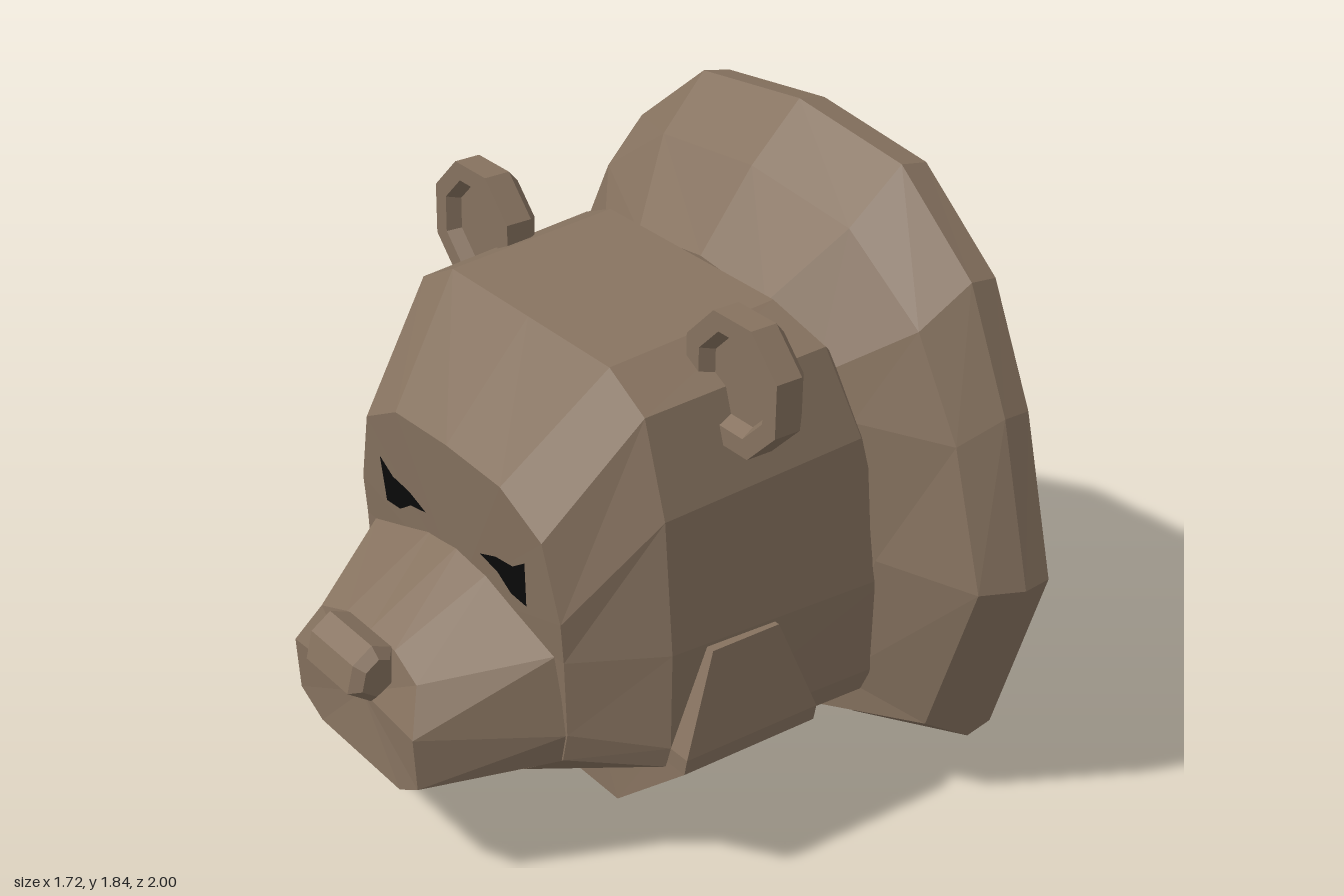
import * as THREE from 'three';

const mat = (name, color, side = THREE.FrontSide) => {
  const m = new THREE.MeshStandardMaterial({ color, flatShading: true, side });
  m.name = name;
  return m;
};

// Surface through closed loops of [x, y, z] points, capped at both ends
function loft(rings) {
  const pos = [], n = rings[0].length;
  const tri = (a, b, c) => pos.push(...a, ...b, ...c);
  for (let i = 0; i < rings.length - 1; i++) {
    for (let j = 0; j < n; j++) {
      const k = (j + 1) % n, a = rings[i], b = rings[i + 1];
      tri(a[j], a[k], b[j]);
      tri(a[k], b[k], b[j]);
    }
  }
  const cap = (ring, flip) => {
    const c = [0, 1, 2].map(d => ring.reduce((s, p) => s + p[d], 0) / n);
    ring.forEach((p, j) => {
      const q = ring[(j + 1) % n];
      flip ? tri(c, q, p) : tri(c, p, q);
    });
  };
  cap(rings[0], true);
  cap(rings[rings.length - 1], false);
  const g = new THREE.BufferGeometry();
  g.setAttribute('position', new THREE.Float32BufferAttribute(pos, 3));
  g.computeVertexNormals();
  return g;
}

// Completes a half loop (top centre, round the +z side, to bottom centre)
const mirror = half => [...half, ...half.slice(1, -1).reverse().map(([x, y, z]) => [x, y, -z])];

export function createModel() {
  const model = new THREE.Group();
  const fur = mat('brown', 0x86725f);
  const purple = mat('purple', 0x6a4f96);
  const grey = mat('grey', 0x707274, THREE.DoubleSide);
  const black = mat('black', 0x0a0a0a, THREE.DoubleSide);
  const add = (name, geometry, material) => {
    const m = new THREE.Mesh(geometry, material);
    m.name = name;
    model.add(m);
    return m;
  };

  // Head: face, brow, back edge and a narrower closing ring
  const face = [[-.465, 1.14, 0], [-.465, 1.13, .25], [-.455, 1.04, .42], [-.44, .82, .48], [-.43, .7, .48],
    [-.42, .47, .48], [-.42, .38, .46], [-.42, .24, .27], [-.42, .24, 0]];
  const brow = [[1.44, 0], [1.44, .36], [1.36, .51], [1.1, .6], [.72, .64],
    [.43, .64], [.36, .62], [.23, .36], [.23, 0]].map(([y, z]) => [-.2, y, z]);
  const nape = [[.33, 1.48, 0], [.33, 1.48, .36], [.37, 1.4, .53], [.43, 1.15, .62], [.53, .72, .67],
    [.49, .42, .65], [.47, .35, .63], [.25, .26, .4], [.25, .25, 0]];
  const inner = nape.map(([x, y, z]) => [x + .04, .82 + (y - .82) * .94, z * .94]);
  add('head', loft([face, brow, nape, inner].map(mirror)), fur);

  // Snout
  const snoutBase = [[.83, 0], [.81, .14], [.7, .44], [.47, .48], [.38, .46], [.25, .27], [.24, 0]]
    .map(([y, z]) => [-.425, y, z]);
  const snoutTip = [[-.72, .665, 0], [-.72, .66, .12], [-.73, .62, .24], [-.785, .5, .3],
    [-.775, .34, .3], [-.77, .28, .2], [-.77, .28, 0]];
  add('snout', loft([snoutTip, snoutBase].map(mirror)), fur);

  // Nose
  const noseShape = new THREE.Shape([[-.86, .57], [-.79, .52], [-.72, .56], [-.72, .665], [-.78, .69], [-.84, .65]]
    .map(p => new THREE.Vector2(...p)));
  add('nose', new THREE.ExtrudeGeometry(noseShape, {
    depth: .21, bevelThickness: .03, bevelSize: .025, bevelOffset: -.025, bevelSegments: 1
  }).translate(0, 0, -.105), fur);

  // Eyes: flat shapes lying just in front of the sloping face
  const eyeShape = [[.35, .95], [.29, .91], [.21, .9], [.13, .87], [.21, .855], [.27, .815], [.34, .81]];
  for (const s of [1, -1]) {
    const g = new THREE.ShapeGeometry(new THREE.Shape(eyeShape.map(([z, y]) => new THREE.Vector2(z * s, y))));
    const p = g.attributes.position;
    for (let i = 0; i < p.count; i++) {
      const z = p.getX(i), y = p.getY(i);
      p.setXYZ(i, -.45 - .08 * (y - .82), y, z);
    }
    g.computeVertexNormals();
    add(s > 0 ? 'eyeFront' : 'eyeBack', g, black);
  }

  // Ears: eight-sided cups opening towards the face
  const earProfile = [[0, .06], [.15, .06], [.195, .02], [.195, -.06], [.14, -.06], [.12, -.02], [0, -.02]]
    .map(p => new THREE.Vector2(...p)).reverse();
  for (const s of [1, -1]) {
    const ear = add(s > 0 ? 'earFront' : 'earBack',
      new THREE.LatheGeometry(earProfile, 8, Math.PI / 8).rotateZ(-Math.PI / 2), fur);
    ear.position.set(.07, 1.42, .585 * s);
  }

  // Chin strap: a band under the jaw, tapering up both cheeks
  const strapSide = [[-.09, .13, .71, .67], [-.2, .24, .43, .71], [-.2, .24, .38, .7], [-.21, .25, .14, .42]];
  const strapPath = [...strapSide, ...strapSide.slice().reverse().map(([a, b, y, z]) => [a, b, y, -z])];
  add('chinStrap', loft(strapPath.map(([a, b, y, z]) => {
    const iy = y < .3 ? y + .14 : y, iz = z * .82;
    return [[b, y, z], [a, y, z], [a, iy, iz], [b, iy, iz]];
  })), fur);

  // Collar: flares from the neck to a broad flat rim
  const rim = [[1.84, 0], [1.79, .42], [1.56, .71], [1.23, .87], [.77, 1], [.21, .83], [.03, .36], [0, .18], [0, 0]]
    .map(([y, z]) => [.7, y, z]);
  const back = rim.map(([x, y, z]) => [.79, .86 + (y - .86) * .982, z * .992]);
  const flareX = [.54, .545, .555, .57, .57, .57, .57, .57, .57];
  const flare = rim.map(([x, y, z], i) => [flareX[i], .86 + (y - .86) * (y > .86 ? .84 : .89), z * .955]);
  const neckX = [.37, .37, .39, .43, .46, .45, .28, .28, .28];
  const neck = rim.map(([x, y, z], i) => [neckX[i], .84 + (y - .84) * (y > .84 ? .62 : .76), z * .67]);
  neck[3][1] = 1.18;
  add('collar', loft([neck, flare, rim, back].map(mirror)), fur);

  // Grey panel on one facet of the collar
  const panel = [neck[3], neck[4], flare[3], neck[4], flare[4], flare[3]]
    .flatMap(([x, y, z]) => [x - .005, y, -z - .004]);
  const panelGeo = new THREE.BufferGeometry();
  panelGeo.setAttribute('position', new THREE.Float32BufferAttribute(panel, 3));
  panelGeo.computeVertexNormals();
  add('collarPanel', panelGeo, grey);

  // Round disc on the back of the collar
  const disc = add('backDisc', new THREE.CylinderGeometry(.5, .5, .075, 40).rotateZ(Math.PI / 2), purple);
  disc.position.set(.8175, .86, 0);

  return model;
}
